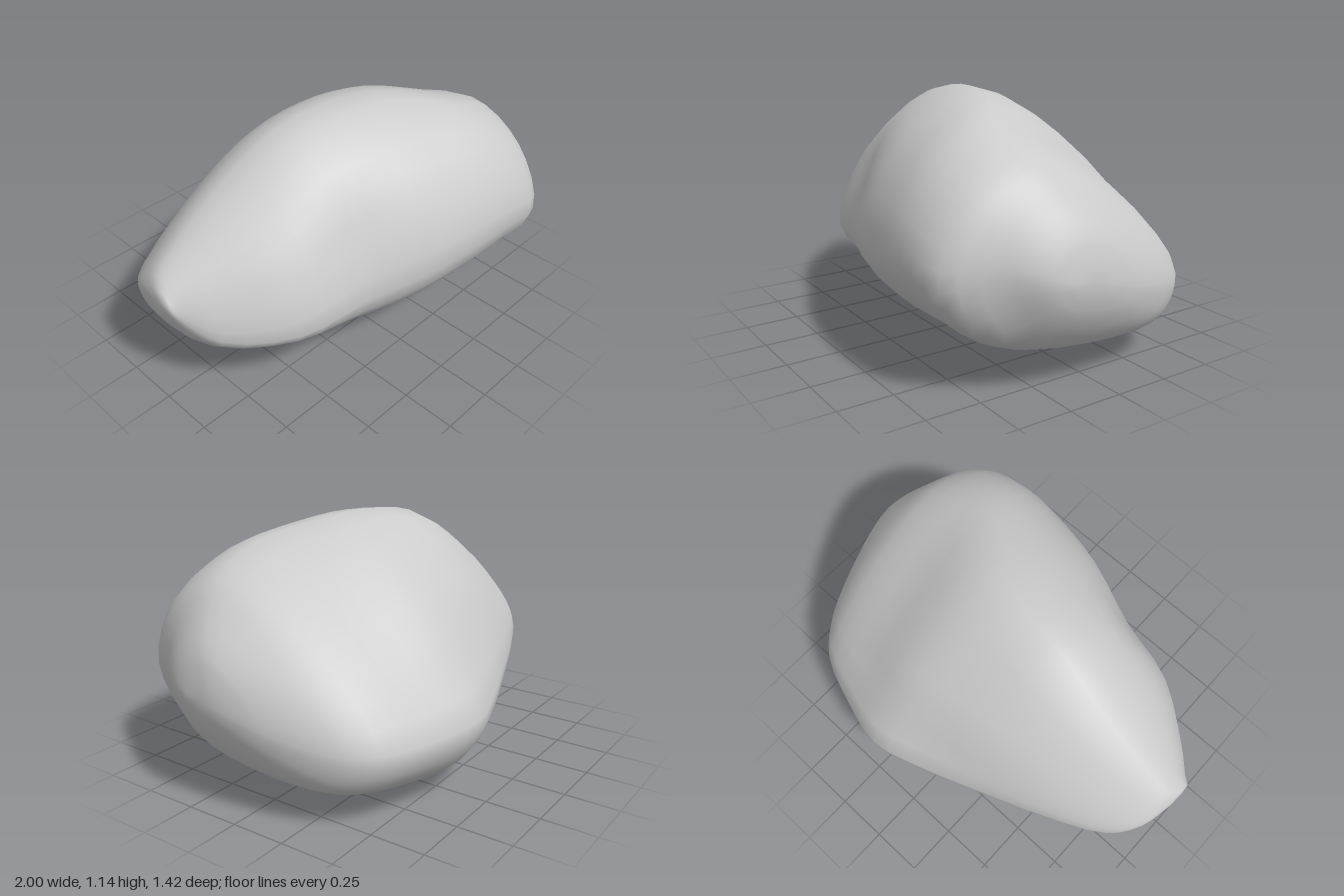
import * as THREE from 'three';

// Cross-sections along x:
// x, top (y, z), bottom (y, z), front (z, y), back (z, y), fullness of the lower edge
const SECTIONS = [
  [-0.995, 0.62, 0.01, 0.53, 0.03, 0.09, 0.57, -0.04, 0.58, 0.74],
  [-0.96, 0.67, -0.02, 0.43, -0.02, 0.13, 0.51, -0.18, 0.53, 0.74],
  [-0.86, 0.75, -0.03, 0.29, -0.06, 0.25, 0.41, -0.30, 0.46, 0.75],
  [-0.60, 0.93, -0.03, 0.205, -0.09, 0.45, 0.40, -0.43, 0.44, 0.75],
  [-0.30, 1.10, 0.01, 0.085, -0.10, 0.54, 0.45, -0.545, 0.42, 0.74],
  [0.00, 1.14, 0.06, 0.01, -0.12, 0.64, 0.49, -0.65, 0.39, 0.73],
  [0.25, 1.12, 0.13, 0.005, -0.14, 0.69, 0.52, -0.71, 0.37, 0.73],
  [0.50, 1.05, 0.27, 0.06, -0.16, 0.71, 0.53, -0.65, 0.35, 0.75],
  [0.74, 0.94, 0.26, 0.12, -0.15, 0.68, 0.49, -0.55, 0.35, 0.78],
  [0.86, 0.82, 0.21, 0.18, -0.08, 0.49, 0.54, -0.42, 0.36, 0.80],
  [0.96, 0.68, 0.15, 0.33, 0.05, 0.35, 0.52, -0.15, 0.42, 0.78],
  [0.995, 0.56, 0.12, 0.44, 0.12, 0.24, 0.50, 0.04, 0.47, 0.74],
];
// Hollows: centre x, y, z, radius x, y, z, depth along z
const HOLLOWS = [
  [-0.28, 0.72, 0.48, 0.2, 0.22, 0.2, -0.035],
  [0.10, 0.58, -0.60, 0.5, 0.12, 0.2, 0.045],
];
const AROUND = 32, STEPS = 3;

// Eight guide points of one section: four extremes and four shoulders
function guidePoints([x, yT, zT, yB, zB, zF, yF, zK, yK, full]) {
  const p = (y, z) => new THREE.Vector3(x, y, z);
  const shoulder = (yE, zE, zS, yS, k) => p(yS + k * (yE - yS), zE + k * (zS - zE));
  return [
    p(yT, zT), shoulder(yT, zT, zF, yF, 0.69),
    p(yF, zF), shoulder(yB, zB, zF, yF, full - 0.06),
    p(yB, zB), shoulder(yB, zB, zK, yK, full),
    p(yK, zK), shoulder(yT, zT, zK, yK, 0.61),
  ];
}

function boulderGeometry() {
  // Smooth ring per section, then smooth rails along the length
  const rings = SECTIONS.map((s) => {
    const curve = new THREE.CatmullRomCurve3(guidePoints(s), true);
    return Array.from({ length: AROUND }, (_, j) => curve.getPoint(j / AROUND));
  });
  const rows = (SECTIONS.length - 1) * STEPS + 1;
  const rails = Array.from({ length: AROUND }, (_, j) =>
    new THREE.CatmullRomCurve3(rings.map((r) => r[j])));

  const pos = [], index = [];
  for (let i = 0; i < rows; i++) {
    for (const rail of rails) {
      const v = rail.getPoint(i / (rows - 1));
      for (const [x, y, z, rx, ry, rz, depth] of HOLLOWS) {
        const d = Math.hypot((v.x - x) / rx, (v.y - y) / ry, (v.z - z) / rz);
        v.z += depth * Math.exp(-d * d);
      }
      pos.push(v.x, v.y, v.z);
    }
  }
  for (let i = 0; i < rows - 1; i++) {
    for (let j = 0; j < AROUND; j++) {
      const a = i * AROUND + j, b = i * AROUND + (j + 1) % AROUND;
      index.push(a, b, a + AROUND, b, b + AROUND, a + AROUND);
    }
  }
  // Close both ends with a centre point
  const low = pos.length / 3, high = low + 1, last = (rows - 1) * AROUND;
  pos.push(-1, 0.58, 0.04, 1, 0.5, 0.14);
  for (let j = 0; j < AROUND; j++) {
    const k = (j + 1) % AROUND;
    index.push(low, k, j, high, last + j, last + k);
  }
  const geo = new THREE.BufferGeometry();
  geo.setAttribute('position', new THREE.Float32BufferAttribute(pos, 3));
  geo.setIndex(index);
  geo.computeVertexNormals();
  return geo;
}

export function createModel() {
  const group = new THREE.Group();
  group.name = 'rock';
  const boulder = new THREE.Mesh(boulderGeometry(),
    new THREE.MeshStandardMaterial({ color: 0xcccccc }));
  boulder.name = 'boulder';
  group.add(boulder);
  return group;
}
